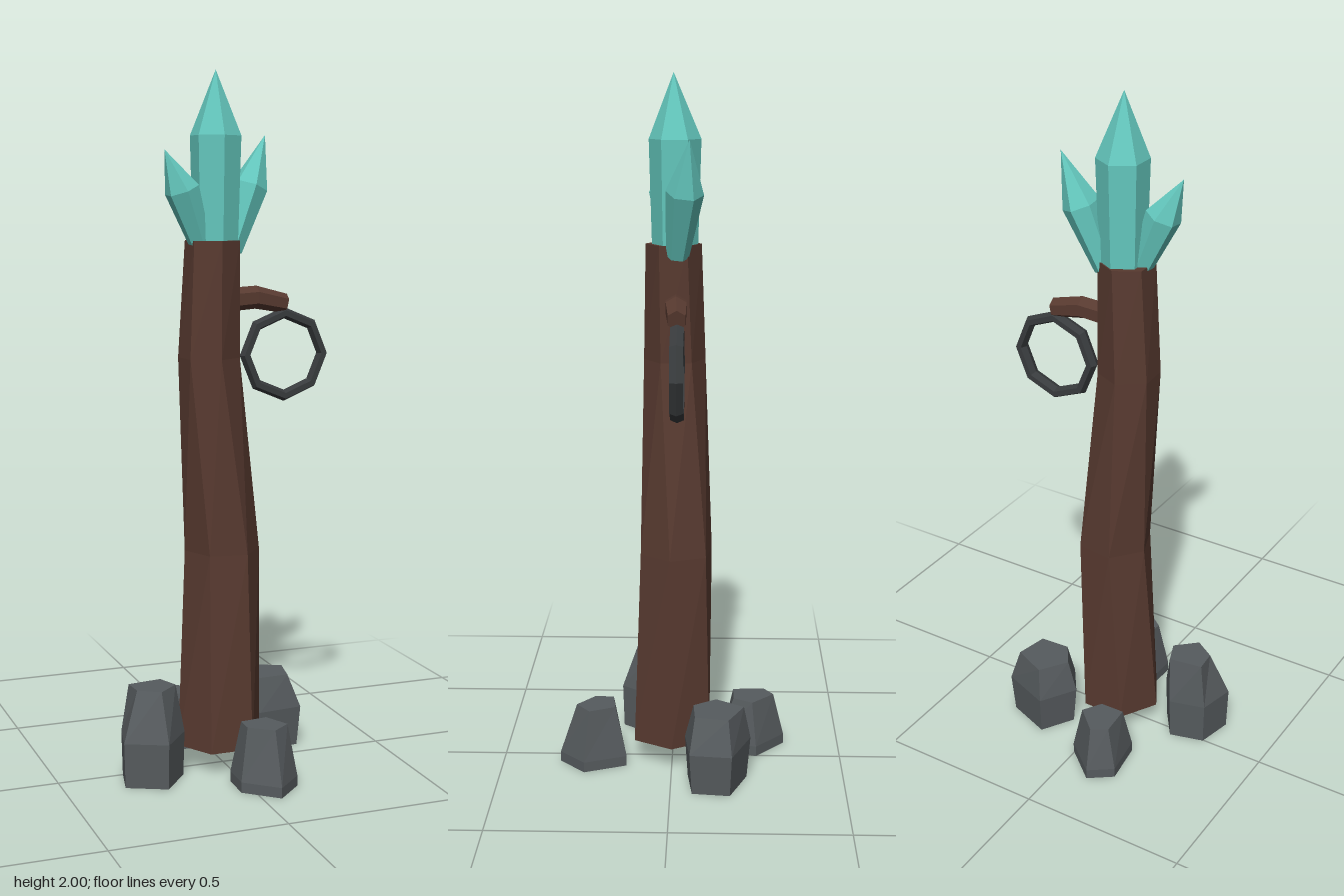
import * as THREE from 'three';

const material = (name, color) => {
  const m = new THREE.MeshStandardMaterial({ color, flatShading: true });
  m.name = name;
  return m;
};
const V = (x, y, z) => new THREE.Vector3(x, y, z);

// Ring of n points around a centre, tilted so that its axis follows dir
function ring(center, r, n = 6, phase = 0, dir = V(0, 1, 0)) {
  const q = new THREE.Quaternion().setFromUnitVectors(V(0, 1, 0), dir.clone().normalize());
  return Array.from({ length: n }, (_, i) => {
    const a = phase + (i / n) * Math.PI * 2;
    return V(Math.cos(a) * r, 0, Math.sin(a) * r).applyQuaternion(q).add(center);
  });
}

// Faceted skin over a stack of rings, capped at both ends
function loft(rings) {
  const pos = [];
  const tri = (a, b, c) => {
    const area = b.clone().sub(a).cross(c.clone().sub(a)).length();
    if (area > 1e-8) for (const p of [a, b, c]) pos.push(p.x, p.y, p.z);
  };
  const n = rings[0].length;
  const mid = (r) => r.reduce((s, p) => s.add(p), V(0, 0, 0)).divideScalar(n);
  const first = rings[0], last = rings[rings.length - 1];
  const low = mid(first), high = mid(last);
  for (let i = 0; i < n; i++) {
    const j = (i + 1) % n;
    for (let k = 0; k + 1 < rings.length; k++) {
      const a = rings[k], b = rings[k + 1];
      tri(a[i], b[i], a[j]);
      tri(a[j], b[i], b[j]);
    }
    tri(low, first[i], first[j]);
    tri(high, last[j], last[i]);
  }
  const g = new THREE.BufferGeometry();
  g.setAttribute('position', new THREE.Float32BufferAttribute(pos, 3));
  g.computeVertexNormals();
  return g;
}

export function createModel() {
  const model = new THREE.Group();
  model.name = 'crystalTorchPost';
  const wood = material('brownWood', 0x583a30);
  const crystal = material('tealCrystal', 0x64c8be);
  const stone = material('greyStone', 0x565b5e);
  const iron = material('darkIron', 0x383b3d);
  const add = (name, geometry, mat) => {
    const mesh = new THREE.Mesh(geometry, mat);
    mesh.name = name;
    model.add(mesh);
    return mesh;
  };

  // Crooked six-sided trunk
  add('trunk', loft([
    ring(V(-0.012, 0.068, 0), 0.127),
    ring(V(0.002, 0.64, -0.012), 0.11, 6, 0.15),
    ring(V(-0.04, 1.2, -0.006), 0.088, 6, 0.45),
    ring(V(-0.03, 1.53, -0.003), 0.079, 6, 0.52),
  ]), wood);

  // Crystals: base, shoulder, tip, base radius, shoulder radius
  const crystals = [
    ['middleCrystal', V(-0.02, 1.5, -0.007), V(-0.019, 1.82, -0.007), V(-0.02, 2, -0.003), 0.064, 0.073],
    ['rightCrystal', V(-0.066, 1.51, 0.005), V(-0.128, 1.67, 0.02), V(-0.182, 1.78, 0.03), 0.03, 0.05],
    ['leftCrystal', V(0.03, 1.5, -0.015), V(0.094, 1.68, -0.036), V(0.147, 1.825, -0.05), 0.032, 0.053],
  ];
  for (const [name, base, shoulder, tip, r0, r1] of crystals) {
    const dir = shoulder.clone().sub(base);
    add(name, loft([
      ring(base, r0, 6, Math.PI / 6, dir),
      ring(shoulder, r1, 6, Math.PI / 6, dir),
      ring(tip, 0, 6, 0, dir),
    ]), crystal);
  }

  // Bent branch stub carrying the hoop
  add('branch', loft([
    ring(V(0, 1.36, -0.01), 0.034, 6, 0, V(1, 0, 0)),
    ring(V(0.105, 1.367, -0.013), 0.033, 6, 0, V(1, -0.05, 0)),
    ring(V(0.198, 1.347, -0.017), 0.028, 6, 0, V(1, -0.2, 0)),
  ]), wood);
  const hoop = add('hoop', new THREE.TorusGeometry(0.12, 0.0165, 6, 8), iron);
  hoop.position.set(0.195, 1.2, -0.018);
  hoop.scale.z = 1.3;

  // Five-sided rocks: widest outline, top outline (x, z), height, waist height, foot scale
  const rocks = [
    ['rightRock', [[-0.31, -0.005], [-0.205, -0.033], [-0.14, 0.06], [-0.22, 0.16], [-0.335, 0.105]],
      [[-0.29, 0.005], [-0.19, -0.01], [-0.165, 0.055], [-0.225, 0.11], [-0.285, 0.07]], 0.27, 0.13, 0.96],
    ['frontRock', [[-0.035, 0.155], [0.08, 0.133], [0.13, 0.255], [0.052, 0.33], [-0.038, 0.25]],
      [[-0.01, 0.175], [0.07, 0.165], [0.105, 0.24], [0.052, 0.28], [-0.012, 0.23]], 0.18, 0.03, 1],
    ['leftRock', [[0.14, -0.23], [0.285, -0.175], [0.272, -0.055], [0.135, -0.04], [0.075, -0.125]],
      [[0.155, -0.21], [0.255, -0.165], [0.235, -0.07], [0.145, -0.065], [0.1, -0.13]], 0.22, 0.12, 0.9],
    ['backRock', [[-0.095, -0.335], [0.005, -0.25], [-0.045, -0.135], [-0.145, -0.155], [-0.163, -0.285]],
      [[-0.09, -0.303], [-0.02, -0.238], [-0.055, -0.183], [-0.128, -0.182], [-0.135, -0.275]], 0.16, 0.03, 1],
  ];
  for (const [name, wide, top, height, waist, foot] of rocks) {
    const cx = wide.reduce((s, p) => s + p[0], 0) / 5;
    const cz = wide.reduce((s, p) => s + p[1], 0) / 5;
    add(name, loft([
      wide.map(([x, z]) => V(cx + (x - cx) * foot, 0, cz + (z - cz) * foot)),
      wide.map(([x, z]) => V(x, waist, z)),
      top.map(([x, z]) => V(x, height, z)),
    ]), stone);
  }
  return model;
}
